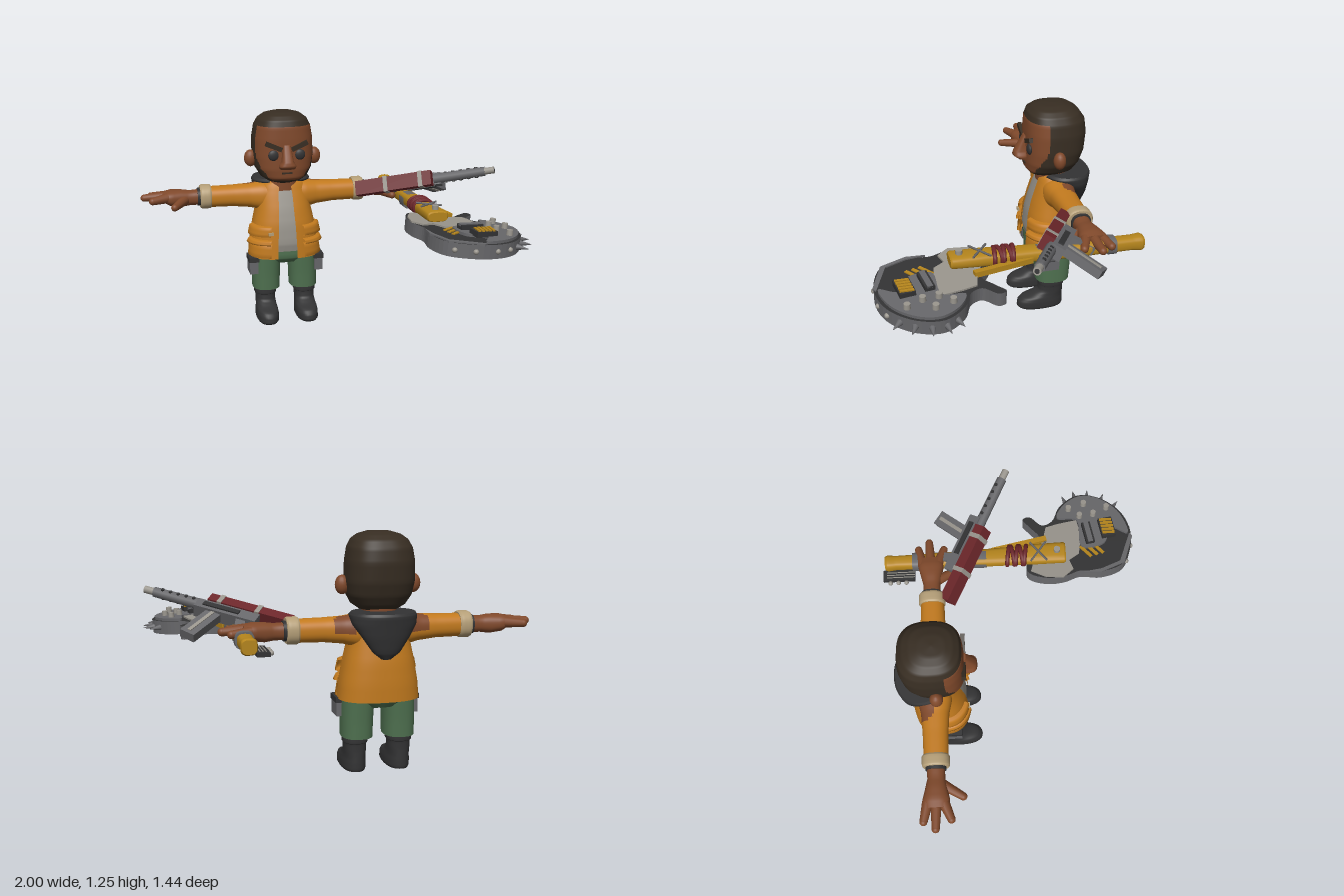
import * as THREE from 'three';

const mat = (name, color, side = THREE.FrontSide) => Object.assign(new THREE.MeshStandardMaterial({ color, side }), { name });
const V = (x, y, z) => new THREE.Vector3(x, y, z);

// Loft of superellipse rings [t, halfWidth, zFront, zBack, centreX] stacked along y.
// pick(x, y, z, angle) returns a material index per face, or -1 to leave it open.
function loft(rings, { n = 40, p = 2.4, sub = 3, pick = () => 0, cap = true, grow = 0 } = {}) {
  const pos = [], parts = [[], [], []], rows = [];
  for (let k = 0; k < rings.length - 1; k++)
    for (let s = 0; s < sub; s++) rows.push(rings[k].map((v, i) => v + ((rings[k + 1][i] ?? 0) - v) * s / sub));
  rows.push(rings[rings.length - 1]);
  const pw = v => Math.sign(v) * Math.abs(v) ** (2 / p);
  const put = ([t, r, zf, zb, cx = 0]) => {
    for (let j = 0; j < n; j++) {
      const a = j / n * Math.PI * 2;
      pos.push(cx + (r + grow) * pw(Math.cos(a)), t, (zf + zb) / 2 + ((zf - zb) / 2 + grow) * pw(Math.sin(a)));
    }
  };
  rows.forEach(put);
  for (let k = 0; k < rows.length - 1; k++)
    for (let j = 0; j < n; j++) {
      const a = k * n + j, b = k * n + (j + 1) % n, c = a + n, d = b + n;
      const mid = i => (pos[a * 3 + i] + pos[b * 3 + i] + pos[c * 3 + i] + pos[d * 3 + i]) / 4;
      const m = pick(mid(0), mid(1), mid(2), (j + 0.5) / n * Math.PI * 2);
      if (m >= 0) parts[m].push(a, c, b, b, c, d);
    }
  if (cap) [rows[0], rows[rows.length - 1]].forEach((row, top) => {
    const base = pos.length / 3;
    put(row);
    pos.push(row[4] ?? 0, row[0], (row[2] + row[3]) / 2);
    const m = Math.max(0, pick(row[4] ?? 0, row[0], (row[2] + row[3]) / 2, 0));
    for (let j = 0; j < n; j++) {
      const a = base + j, b = base + (j + 1) % n;
      parts[m].push(base + n, top ? b : a, top ? a : b);
    }
  });
  const g = new THREE.BufferGeometry();
  g.setAttribute('position', new THREE.Float32BufferAttribute(pos, 3));
  g.setIndex(parts.flat());
  let start = 0;
  parts.forEach((q, i) => { if (q.length) g.addGroup(start, q.length, i); start += q.length; });
  g.computeVertexNormals();
  return g;
}

// Tapered rod between two points
function rod(a, b, r1, r2, n = 14) {
  const d = b.clone().sub(a), g = new THREE.CylinderGeometry(r2, r1, d.length(), n);
  g.applyQuaternion(new THREE.Quaternion().setFromUnitVectors(V(0, 1, 0), d.clone().normalize()));
  return g.translate((a.x + b.x) / 2, (a.y + b.y) / 2, (a.z + b.z) / 2);
}
const box = (w, h, d, x, y, z) => new THREE.BoxGeometry(w, h, d).translate(x, y, z);
const ball = (r, x, y, z, sx = 1, sy = 1, sz = 1) => new THREE.SphereGeometry(r, 18, 12).scale(sx, sy, sz).translate(x, y, z);

function mirror(g) {
  const m = g.clone().scale(-1, 1, 1), ix = m.index.array;
  for (let i = 0; i < ix.length; i += 3) [ix[i], ix[i + 1]] = [ix[i + 1], ix[i]];
  return m;
}

export function createModel() {
  const skin = mat('skin', 0x80492b), hair = mat('hair', 0x372d22), orange = mat('jacketOrange', 0xc27a1e, THREE.DoubleSide);
  const black = mat('charcoal', 0x333334), pale = mat('paleGrey', 0x99958d), green = mat('trouserGreen', 0x4f7150);
  const metal = mat('metalGrey', 0x67676a), gold = mat('woodYellow', 0xb5851c), red = mat('darkRed', 0x6c262a), tan = mat('cuffTan', 0xb59f78);

  const root = new THREE.Group();
  const group = (name, x = 0, y = 0, z = 0) => {
    const g = new THREE.Group();
    g.name = name; g.position.set(x, y, z); root.add(g);
    return g;
  };
  const add = (parent, name, geo, m) => {
    const o = new THREE.Mesh(geo, m);
    o.name = name; parent.add(o);
    return o;
  };
  const pair = (parent, name, geo, m) => { add(parent, name + 'Left', geo, m); add(parent, name + 'Right', mirror(geo), m); };

  const body = group('figure', -0.17);

  // Head: hair, sideburns and beard are face groups on the skull
  const hairline = (x, y, z) => {
    const edge = -0.36 + 0.06 * THREE.MathUtils.clamp((1.02 - y) / 0.12, 0, 1);
    return y > 1.175 || y < 0.866 || z < edge ? 1 : 0;
  };
  add(body, 'head', loft([[0.84, 0.05, -0.33, -0.46], [0.855, 0.1, -0.29, -0.51], [0.88, 0.137, -0.27, -0.545], [0.93, 0.166, -0.265, -0.575],
    [1.0, 0.177, -0.265, -0.597], [1.1, 0.175, -0.265, -0.605], [1.17, 0.163, -0.268, -0.595], [1.21, 0.142, -0.28, -0.567],
    [1.235, 0.108, -0.31, -0.53], [1.249, 0.06, -0.35, -0.48], [1.253, 0.005, -0.41, -0.42]], { n: 96, p: 2.6, sub: 5, pick: hairline }), [skin, hair]);
  pair(body, 'ear', ball(0.05, 0.19, 0.98, -0.415, 0.75, 1, 0.7), skin);
  pair(body, 'eye', ball(0.031, 0.077, 1.017, -0.272, 1, 1, 0.45), black);
  pair(body, 'brow', new THREE.BoxGeometry(0.1, 0.026, 0.022).rotateZ(0.4).translate(0.075, 1.068, -0.268), hair);
  add(body, 'nose', loft([[0.94, 0.045, -0.225, -0.29], [0.958, 0.05, -0.2, -0.29], [0.985, 0.034, -0.205, -0.29], [1.075, 0.022, -0.255, -0.29]], { p: 2.8 }), skin);
  add(body, 'mouth', box(0.06, 0.009, 0.008, 0, 0.912, -0.264), hair);
  add(body, 'neck', loft([[0.79, 0.09, -0.34, -0.52], [0.87, 0.09, -0.34, -0.52]]), skin);

  // Torso: open jacket over a shirt, with raised pockets
  const coat = [[0.39, 0.214, -0.268, -0.582], [0.48, 0.205, -0.272, -0.582], [0.59, 0.185, -0.28, -0.575], [0.68, 0.165, -0.3, -0.56],
    [0.76, 0.155, -0.325, -0.545], [0.82, 0.13, -0.345, -0.53], [0.848, 0.09, -0.36, -0.51]];
  const opening = (x, y, z, a) => (Math.abs(a - Math.PI / 2) < 0.21 ? -1 : 0);
  add(body, 'jacket', loft(coat, { n: 96, p: 2.5, pick: opening, cap: false }), orange);
  add(body, 'shirt', loft([[0.43, 0.2, -0.283, -0.56], ...coat.slice(1)], { n: 64, p: 2.5, grow: -0.008 }), pale);
  const pocketSide = (x, y, z, a) => { const m = Math.min(a, Math.PI - a); return m > 0.05 && m < 1.2 ? 0 : -1; };
  const pocket = (y0, y1, g) => loft([[y0, 0.198, -0.28, -0.57], [y0 + 0.006, 0.208 + g, -0.265 + g, -0.58], [y1 - 0.006, 0.196 + g, -0.268 + g, -0.58], [y1, 0.185, -0.285, -0.57]],
    { n: 96, p: 2.5, pick: pocketSide, cap: false });
  add(body, 'lowerPockets', pocket(0.395, 0.485, 0.012), orange);
  add(body, 'lowerPocketFlaps', pocket(0.475, 0.51, 0.02), orange);
  add(body, 'upperPockets', pocket(0.525, 0.59, 0.012), orange);
  add(body, 'pocketTag', box(0.03, 0.018, 0.01, -0.1, 0.55, -0.265), tan);
  add(body, 'hood', loft([[0.615, 0.025, -0.55, -0.592], [0.65, 0.07, -0.54, -0.612], [0.73, 0.125, -0.5, -0.63], [0.79, 0.165, -0.42, -0.64],
    [0.835, 0.175, -0.36, -0.648], [0.85, 0.165, -0.38, -0.64]], { p: 2.2 }), black);

  // Arms, built upright and turned to point along +x, then mirrored
  const side = g => g.rotateZ(-Math.PI / 2);
  const patch = (x, t, z) => (((t - 0.19) / 0.06) ** 2 + ((z + 0.5) / 0.06) ** 2 < 1 && x < -0.74 ? 1 : 0);
  pair(body, 'sleeve', side(loft([[0.06, 0.085, -0.345, -0.53, -0.745], [0.13, 0.084, -0.35, -0.53, -0.748], [0.2, 0.07, -0.365, -0.515, -0.752], [0.3, 0.062, -0.372, -0.508, -0.755],
    [0.44, 0.06, -0.375, -0.505, -0.755]], { n: 64, sub: 6, pick: patch })), [orange, skin]);
  pair(body, 'cuff', side(loft([[0.425, 0.064, -0.375, -0.508, -0.758], [0.435, 0.07, -0.368, -0.515, -0.758], [0.48, 0.07, -0.368, -0.515, -0.758], [0.49, 0.064, -0.375, -0.508, -0.758]])), tan);
  pair(body, 'wristBand', side(loft([[0.48, 0.053, -0.388, -0.497, -0.757], [0.505, 0.051, -0.388, -0.497, -0.757]])), black);
  pair(body, 'hand', side(loft([[0.48, 0.045, -0.395, -0.49, -0.757], [0.55, 0.043, -0.395, -0.488, -0.755], [0.6, 0.05, -0.385, -0.5, -0.755],
    [0.66, 0.046, -0.373, -0.515, -0.76], [0.705, 0.028, -0.38, -0.505, -0.768]])), skin);
  const fingers = [[V(0.67, 0.765, -0.488), V(0.77, 0.76, -0.512)], [V(0.68, 0.77, -0.444), V(0.81, 0.765, -0.45)],
    [V(0.68, 0.768, -0.403), V(0.765, 0.762, -0.368)], [V(0.58, 0.75, -0.41), V(0.645, 0.735, -0.305)]];
  fingers.forEach(([a, b], i) => {
    pair(body, 'finger' + i, rod(a, b, 0.029, 0.021), skin);
    pair(body, 'fingerTip' + i, ball(0.021, b.x, b.y, b.z), skin);
  });

  // Legs, pouches and boots
  add(body, 'hips', loft([[0.35, 0.1, -0.33, -0.52], [0.385, 0.185, -0.3, -0.545], [0.46, 0.19, -0.3, -0.55]]), green);
  pair(body, 'trouserLeg', loft([[0.185, 0.082, -0.32, -0.52, 0.113], [0.28, 0.083, -0.315, -0.525, 0.112], [0.4, 0.085, -0.305, -0.535, 0.108]]), green);
  pair(body, 'pouch', box(0.05, 0.085, 0.11, 0.196, 0.335, -0.375), metal);
  pair(body, 'pouchFlap', box(0.06, 0.028, 0.122, 0.196, 0.38, -0.375), black);
  pair(body, 'boot', loft([[0, 0.06, -0.22, -0.483, 0.12], [0.012, 0.066, -0.208, -0.487, 0.12], [0.045, 0.066, -0.212, -0.487, 0.12], [0.068, 0.063, -0.235, -0.486, 0.12], [0.085, 0.06, -0.29, -0.485, 0.12],
    [0.11, 0.059, -0.335, -0.484, 0.12], [0.15, 0.06, -0.34, -0.485, 0.12], [0.155, 0.066, -0.334, -0.49, 0.12], [0.19, 0.066, -0.334, -0.49, 0.12]]), black);

  // Guitar body: rounded single-horn outline, slightly tilted
  const cx = 0.66, guitar = group('guitarBody', cx, 0.645, 0);
  guitar.rotation.z = -0.07;
  const slab = (pts, h, y, smooth) => {
    const curve = new THREE.CatmullRomCurve3(pts.map(([x, z]) => V(x - cx, -z, 0)), true);
    const shape = new THREE.Shape((smooth ? curve.getPoints(90) : curve.points).map(v => new THREE.Vector2(v.x, v.y)));
    return new THREE.ExtrudeGeometry(shape, { depth: h, bevelEnabled: false }).rotateX(-Math.PI / 2).translate(0, y, 0);
  };
  const outline = [[0.44, 0.1], [0.395, 0.2], [0.4, 0.31], [0.43, 0.4], [0.42, 0.52], [0.47, 0.65], [0.64, 0.71], [0.8, 0.67], [0.91, 0.55], [0.935, 0.42],
    [0.86, 0.31], [0.765, 0.26], [0.74, 0.2], [0.8, 0.13], [0.785, 0.09], [0.73, 0.13], [0.65, 0.185], [0.55, 0.12]];
  add(guitar, 'guitarSlab', slab(outline, 0.075, 0, true), [black, metal]);
  add(guitar, 'palePlate', slab([[0.44, 0.12], [0.4, 0.2], [0.39, 0.3], [0.44, 0.36], [0.5, 0.34], [0.54, 0.4], [0.66, 0.42], [0.76, 0.4], [0.74, 0.29], [0.72, 0.22], [0.64, 0.2], [0.54, 0.15]], 0.009, 0.075), pale);
  add(guitar, 'metalPlate', slab([[0.58, 0.42], [0.76, 0.4], [0.78, 0.29], [0.86, 0.33], [0.92, 0.43], [0.9, 0.54], [0.8, 0.65], [0.66, 0.69], [0.7, 0.6], [0.6, 0.55]], 0.015, 0.075, true), metal);
  add(guitar, 'rimBand', slab([[0.42, 0.42], [0.415, 0.52], [0.47, 0.655], [0.64, 0.716], [0.66, 0.7], [0.48, 0.63], [0.435, 0.52]], 0.012, 0.07), metal);
  [0, 1, 2].forEach(i => add(guitar, 'hazardStripe' + i, new THREE.BoxGeometry(0.09, 0.006, 0.018).rotateY(0.7).translate(0.55 - cx + i * 0.01, 0.082, 0.44 + i * 0.035), gold));
  add(guitar, 'pickup', new THREE.BoxGeometry(0.13, 0.03, 0.05).rotateY(0.15).translate(0.66 - cx, 0.1, 0.46), black);
  add(guitar, 'pickupCover', new THREE.BoxGeometry(0.13, 0.012, 0.028).rotateY(0.15).translate(0.66 - cx, 0.113, 0.46), metal);
  add(guitar, 'bridge', new THREE.BoxGeometry(0.12, 0.03, 0.08).rotateY(0.15).translate(0.69 - cx, 0.1, 0.57), black);
  for (let i = 0; i < 5; i++) add(guitar, 'bridgeSaddle' + i, box(0.014, 0.02, 0.07, 0.65 - cx + i * 0.021, 0.112, 0.576 - i * 0.003), gold);
  [[0.83, 0.36], [0.86, 0.45], [0.79, 0.5], [0.83, 0.58], [0.78, 0.42]].forEach(([x, z], i) =>
    add(guitar, 'knob' + i, new THREE.CylinderGeometry(0.016, 0.018, 0.035, 14).translate(x - cx, 0.1, z), pale));
  [[0.9, 0.355], [0.93, 0.41], [0.93, 0.48], [0.905, 0.555], [0.86, 0.62], [0.8, 0.67], [0.72, 0.7], [0.6, 0.705], [0.5, 0.67]].forEach(([x, z], i) => {
    const out = V(x - 0.66, 0, z - 0.45).normalize(), at = V(x - cx, 0.038, z);
    const tip = at.clone().addScaledVector(out, 0.062);
    if (i < 5) add(guitar, 'spike' + i, rod(at, tip, 0.017, 0.001, 10), metal);
    else add(guitar, 'rivet' + i, ball(0.014, at.x, at.y, at.z), pale);
  });

  // Guitar neck, running front to back, with wrapping and headstock
  const neck = group('guitarNeck');
  const along = g => g.rotateX(Math.PI / 2);
  add(neck, 'neckHandle', along(loft([[-0.705, 0.036, -0.695, -0.765, 0.54], [-0.69, 0.042, -0.688, -0.772, 0.54], [-0.64, 0.037, -0.695, -0.768, 0.54], [-0.3, 0.045, -0.7, -0.775, 0.54],
    [0, 0.052, -0.715, -0.785, 0.54], [0.15, 0.058, -0.725, -0.795, 0.54], [0.31, 0.06, -0.735, -0.797, 0.54], [0.32, 0.054, -0.74, -0.79, 0.54]], { n: 20, p: 3 })), gold);
  [[-0.55, 0.045], [-0.22, 0.09]].forEach(([z, l], i) => add(neck, 'neckTape' + i, along(loft([[z, 0.048, -0.69, -0.778, 0.54], [z + l, 0.05, -0.692, -0.781, 0.54]], { n: 20, p: 3 })), metal));
  for (let i = 0; i < 5; i++)
    add(neck, 'redWrap' + i, new THREE.TorusGeometry(0.056, 0.012, 8, 24).scale(1, 0.75, 1).rotateY(i % 2 ? 0.15 : -0.15).translate(0.54, 0.757, -0.005 + i * 0.024), red);
  [-1, 1].forEach(s => add(neck, 'wire', rod(V(0.54 - s * 0.058, 0.797, 0.12), V(0.54 + s * 0.058, 0.799, 0.21), 0.006, 0.006, 6), metal));
  add(neck, 'neckBolt', new THREE.CylinderGeometry(0.018, 0.018, 0.03, 12).translate(0.54, 0.803, 0.27), pale);
  add(neck, 'fretboard', new THREE.BoxGeometry(0.03, 0.03, 0.32).rotateY(0.2).translate(0.615, 0.735, 0.06), gold);
  add(neck, 'headstock', box(0.065, 0.022, 0.18, 0.475, 0.695, -0.63), black);
  for (let i = 0; i < 3; i++) add(neck, 'tuner' + i, ball(0.013, 0.432, 0.695, -0.68 + i * 0.045), pale);
  for (let i = 0; i < 3; i++) add(neck, 'string' + i, box(0.004, 0.004, 0.16, 0.46 + i * 0.015, 0.708, -0.62), pale);

  // Rifle: local x runs to the muzzle, local -y to the magazine
  const gun = group('rifle', 0.6, 0.835, -0.21);
  const ax = V(0.853, 0.213, 0.474).normalize();
  const az = ax.clone().cross(V(-0.46, 0.4, 0.79)).normalize();
  gun.quaternion.setFromRotationMatrix(new THREE.Matrix4().makeBasis(ax, az.clone().cross(ax), az));
  add(gun, 'redStock', box(0.46, 0.06, 0.085, -0.135, 0.035, 0), red);
  [-0.18, 0.03].forEach(x => add(gun, 'stockClamp', box(0.025, 0.068, 0.093, x, 0.035, 0), pale));
  add(gun, 'receiver', box(0.34, 0.07, 0.07, -0.03, -0.03, 0), metal);
  add(gun, 'receiverRib', box(0.2, 0.03, 0.085, 0, -0.03, 0), black);
  add(gun, 'magazine', new THREE.BoxGeometry(0.085, 0.22, 0.045).rotateZ(0.2).translate(0.05, -0.17, 0), metal);
  add(gun, 'magazineRib', new THREE.BoxGeometry(0.02, 0.2, 0.053).rotateZ(0.2).translate(0.05, -0.16, 0), pale);
  add(gun, 'grip', new THREE.BoxGeometry(0.05, 0.14, 0.045).rotateZ(-0.3).translate(-0.14, -0.12, 0), metal);
  add(gun, 'barrelShroud', rod(V(0.1, 0, 0), V(0.4, 0, 0), 0.03, 0.027, 8), metal);
  for (let i = 0; i < 5; i++) add(gun, 'shroudHole' + i, rod(V(0.17 + i * 0.045, 0, -0.031), V(0.17 + i * 0.045, 0, 0.031), 0.01, 0.01, 8), black);
  add(gun, 'muzzle', rod(V(0.39, 0, 0), V(0.455, 0, 0), 0.02, 0.02), pale);
  add(gun, 'bore', rod(V(0.45, 0, 0), V(0.457, 0, 0), 0.012, 0.012), black);
  return root;
}
